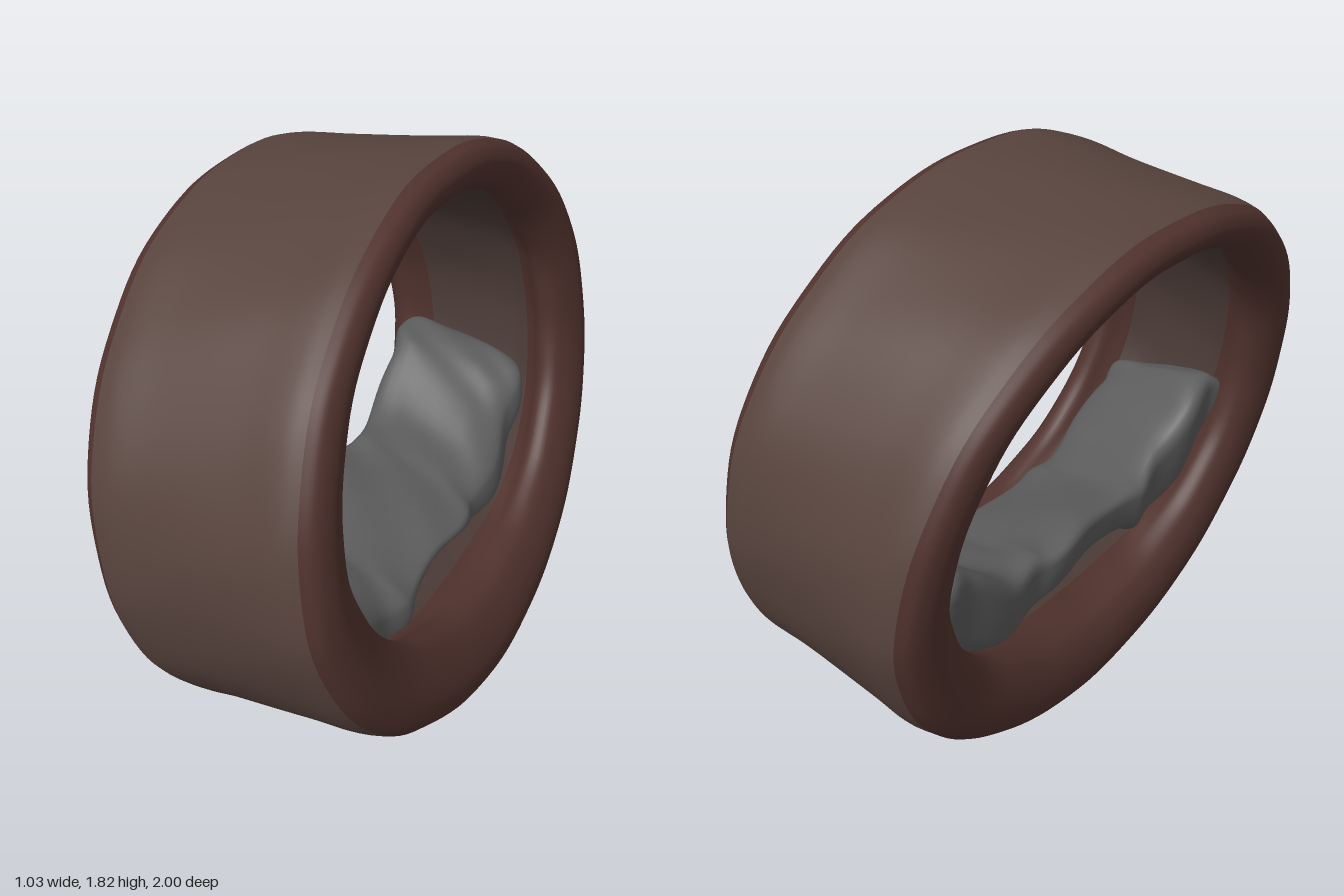
import * as THREE from 'three';

const TILT = THREE.MathUtils.degToRad(8.3);
const CENTRE = 0.92;
const AROUND = 128;

// Skin a grid of points (rows of equal length, each row a closed loop)
function skin(rows, color, name) {
  const n = rows[0].length;
  const index = [];
  for (let i = 0; i < rows.length - 1; i++) {
    for (let j = 0; j < n; j++) {
      const k = (j + 1) % n;
      const a = i * n + j, b = (i + 1) * n + j, c = i * n + k, d = (i + 1) * n + k;
      index.push(a, b, c, b, d, c);
    }
  }
  const geo = new THREE.BufferGeometry();
  geo.setAttribute('position', new THREE.Float32BufferAttribute(rows.flat(2), 3));
  geo.setIndex(index);
  geo.computeVertexNormals();
  const mesh = new THREE.Mesh(geo, new THREE.MeshStandardMaterial({ color, side: THREE.DoubleSide }));
  mesh.name = name;
  return mesh;
}

// Oval hoop at width position u, inset d; the wall is thicker below than above,
// floor adds extra thickness at the bottom, and the rims flare except at top left
function hoop(u, d, floor) {
  const row = [];
  for (let j = 0; j < AROUND; j++) {
    const a = (j / AROUND) * Math.PI * 2, s = Math.sin(a);
    const wobble = 0.002 * Math.sin(a * 9 + u * 6) + 0.0015 * Math.sin(a * 17 - u * 9);
    const raised = floor * Math.pow(Math.max(0, -s), 3);
    const flare = u > 0 && s > 0 ? -0.02 : 0.08;
    row.push([
      u * (0.95 + flare * s * s),
      (0.878 - 0.9 * d - raised + wobble) * s + 0.27 * d,
      (0.997 - d + wobble) * Math.cos(a),
    ]);
  }
  return row;
}

// Smooth strip of the ring through [u, inset, floor] points
function strip(points, color, name) {
  const curve = new THREE.CatmullRomCurve3(points.map(p => new THREE.Vector3(...p)));
  return skin(curve.getPoints(points.length * 4).map(p => hoop(p.x, p.y, p.z)), color, name);
}

// Lumpy padding along the lower half: a ramp, high towards the right rim and
// low towards the left, bridging a narrow gap above the floor in the middle
function padding() {
  // z, top at the high edge, top at the low edge, underside
  const stations = [
    [0.84, 0.85, 0.77, 0.70], [0.77, 0.88, 0.79, 0.64], [0.70, 0.92, 0.75, 0.56], [0.58, 0.85, 0.66, 0.45],
    [0.45, 0.74, 0.57, 0.40], [0.34, 0.68, 0.53, 0.39], [0.24, 0.65, 0.52, 0.45], [0, 0.68, 0.52, 0.48],
    [-0.18, 0.67, 0.52, 0.45], [-0.28, 0.68, 0.53, 0.40], [-0.42, 0.70, 0.57, 0.39], [-0.58, 0.85, 0.66, 0.45],
    [-0.68, 0.89, 0.74, 0.55], [-0.77, 0.89, 0.78, 0.64], [-0.84, 0.86, 0.77, 0.70],
  ];
  const N = 84, M = 32, lerp = THREE.MathUtils.lerp;
  const spline = k => new THREE.SplineCurve(stations.map(s => new THREE.Vector2(s[0], s[k])));
  const [high, low, under] = [1, 2, 3].map(spline);
  const rows = [];
  for (let i = 0; i <= N; i++) {
    const t = 1 - i / N;
    const h = high.getPoint(t), l = low.getPoint(t), b = under.getPoint(t);
    const taper = Math.sqrt(Math.max(0, 1 - Math.pow(Math.abs(2 * t - 1), 24)));
    const row = [];
    for (let j = 0; j < M; j++) {
      const a = (j / M) * Math.PI * 2;
      const c = Math.sign(Math.cos(a)) * Math.sqrt(Math.abs(Math.cos(a)));
      const s = Math.sign(Math.sin(a)) * Math.sqrt(Math.abs(Math.sin(a)));
      const u = -0.035 + 0.03 * h.x + (0.23 + 0.012 * Math.sin(t * 37)) * c * taper;
      const top = lerp(h.y, l.y, (c + 1) / 2) + 0.005 * Math.sin(t * 60 + u * 20);
      const y = (top + b.y) / 2 + ((top - b.y) / 2) * s * taper;
      row.push([u, y - CENTRE - u * Math.tan(TILT), h.x]);
    }
    rows.push(row);
  }
  return skin(rows, 0x5c5c5c, 'padding');
}

export function createModel() {
  const ring = new THREE.Group();
  ring.name = 'tiltedRing';

  // Broad outer band with faintly raised shoulders
  ring.add(strip([
    [-0.335, 0.01, 0], [-0.28, 0, 0], [-0.15, 0.004, 0], [0, 0.005, 0],
    [0.15, 0.004, 0], [0.28, 0, 0], [0.335, 0.01, 0],
  ], 0x57433d, 'outerBand'));

  // Rounded beads at both openings, the left one slightly deeper
  const bead = depth => [
    [0.335, 0.01, 0], [0.37, 0.035, 0], [0.388, 0.078, 0], [0.39, 0.12, 0],
    [0.37, 0.18, 0], [0.33, depth - 0.006, 0.01], [0.28, depth, 0.03],
    [0.235, 0.2, 0.08], [0.2, 0.175, 0.13],
  ];
  const mirrored = bead(0.224).map(([u, d, f]) => [-u, d, f]).reverse();
  ring.add(strip(bead(0.236), 0x50322d, 'leftBead'));
  ring.add(strip(mirrored, 0x50322d, 'rightBead'));

  // Inner wall, recessed between the beads and raised along the floor
  ring.add(strip([
    [0.2, 0.175, 0.13], [0.14, 0.16, 0.155], [0, 0.155, 0.16], [-0.14, 0.16, 0.155], [-0.2, 0.175, 0.13],
  ], 0x4a3a36, 'innerWall'));

  ring.add(padding());

  ring.rotation.z = TILT;
  ring.position.y = CENTRE;
  const model = new THREE.Group();
  model.name = 'model';
  model.add(ring);

  // Rest exactly on the ground
  model.updateMatrixWorld(true);
  ring.position.y -= new THREE.Box3().setFromObject(model, true).min.y;
  return model;
}
